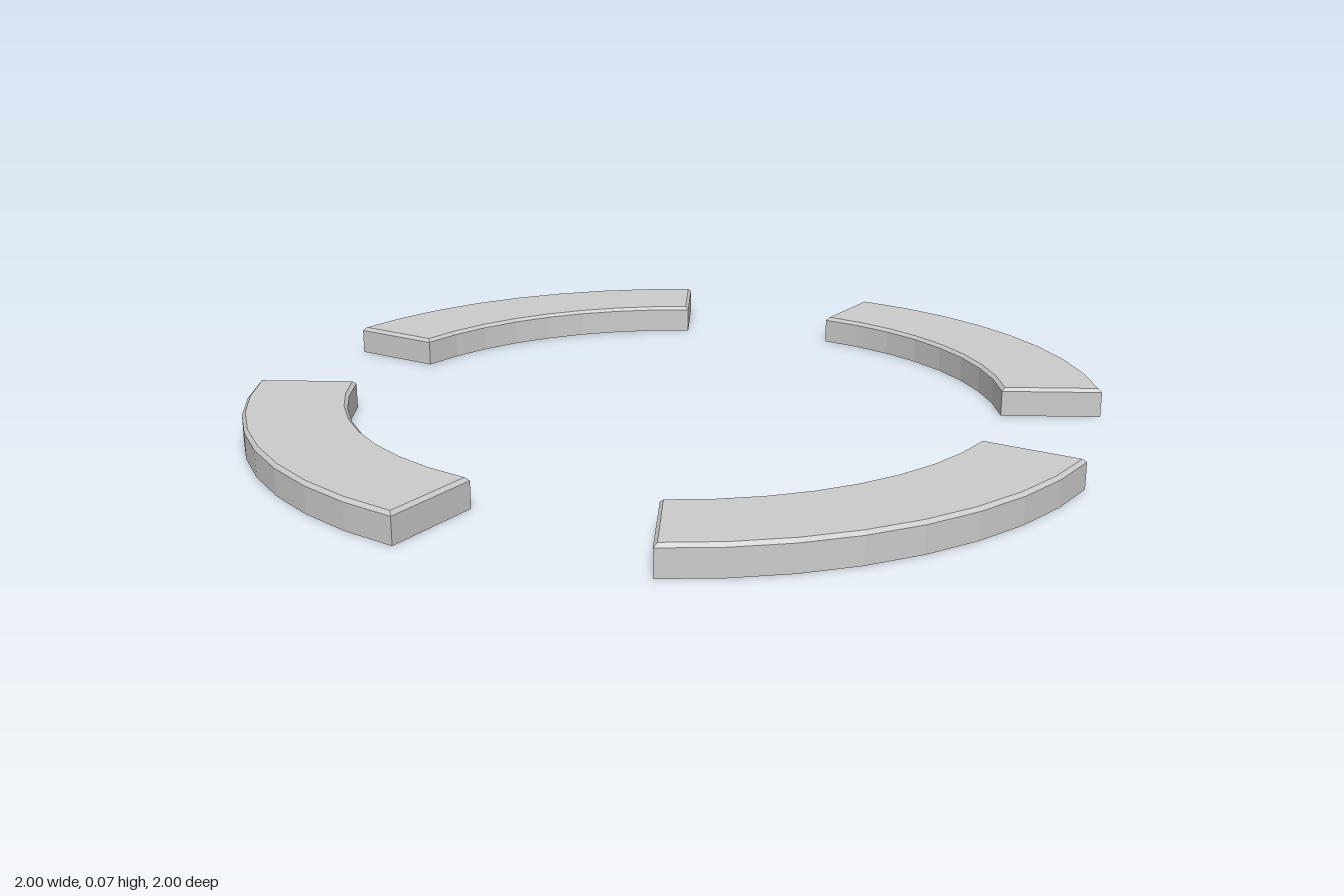
import * as THREE from 'three';

const OUTER = 1.034, INNER = 0.793; // arc radii
const HEIGHT = 0.07, BEVEL = 0.008;
const START = 15, SPAN = 60, SEGMENTS = 8; // degrees
const TURN = 0.25; // slight twist of the whole ring, degrees

// Outline of one arc at height y, shrunk by inset: outer edge, then inner edge back
function outline(y, inset) {
  const points = [];
  const edge = (radius, reverse) => {
    const trim = inset / radius;
    const a0 = THREE.MathUtils.degToRad(START) + trim;
    const a1 = THREE.MathUtils.degToRad(START + SPAN) - trim;
    for (let i = 0; i <= SEGMENTS; i++) {
      const t = i / SEGMENTS;
      const a = THREE.MathUtils.lerp(a0, a1, reverse ? 1 - t : t);
      points.push([radius * Math.cos(a), y, -radius * Math.sin(a)]);
    }
  };
  edge(OUTER - inset, false);
  edge(INNER + inset, true);
  return points;
}

// Hollow arc: walls, narrow bevel and top, open underneath
function arcGeometry() {
  const rings = [outline(0, 0), outline(HEIGHT - BEVEL, 0), outline(HEIGHT, BEVEL)];
  const n = rings[0].length;
  const positions = [];
  const quad = (a, b, c, d) => positions.push(...a, ...b, ...c, ...a, ...c, ...d);
  for (let r = 0; r < 2; r++) {
    for (let i = 0; i < n; i++) {
      const j = (i + 1) % n;
      quad(rings[r][i], rings[r][j], rings[r + 1][j], rings[r + 1][i]);
    }
  }
  const top = rings[2];
  for (let i = 0; i < SEGMENTS; i++) {
    quad(top[i], top[i + 1], top[n - 2 - i], top[n - 1 - i]);
  }
  const geometry = new THREE.BufferGeometry();
  geometry.setAttribute('position', new THREE.Float32BufferAttribute(positions, 3));
  geometry.computeVertexNormals();
  return geometry;
}

export function createModel() {
  const group = new THREE.Group();
  group.name = 'segmentedRing';
  const material = new THREE.MeshStandardMaterial({
    color: 0xcccccc, flatShading: true, side: THREE.DoubleSide,
  });
  const geometry = arcGeometry();

  // Four equal arcs, a quarter turn apart
  ['backLeftArc', 'backRightArc', 'frontRightArc', 'frontLeftArc'].forEach((name, i) => {
    const arc = new THREE.Mesh(geometry, material);
    arc.name = name;
    arc.rotation.y = i * Math.PI / 2 + THREE.MathUtils.degToRad(TURN);
    group.add(arc);
  });
  return group;
}
